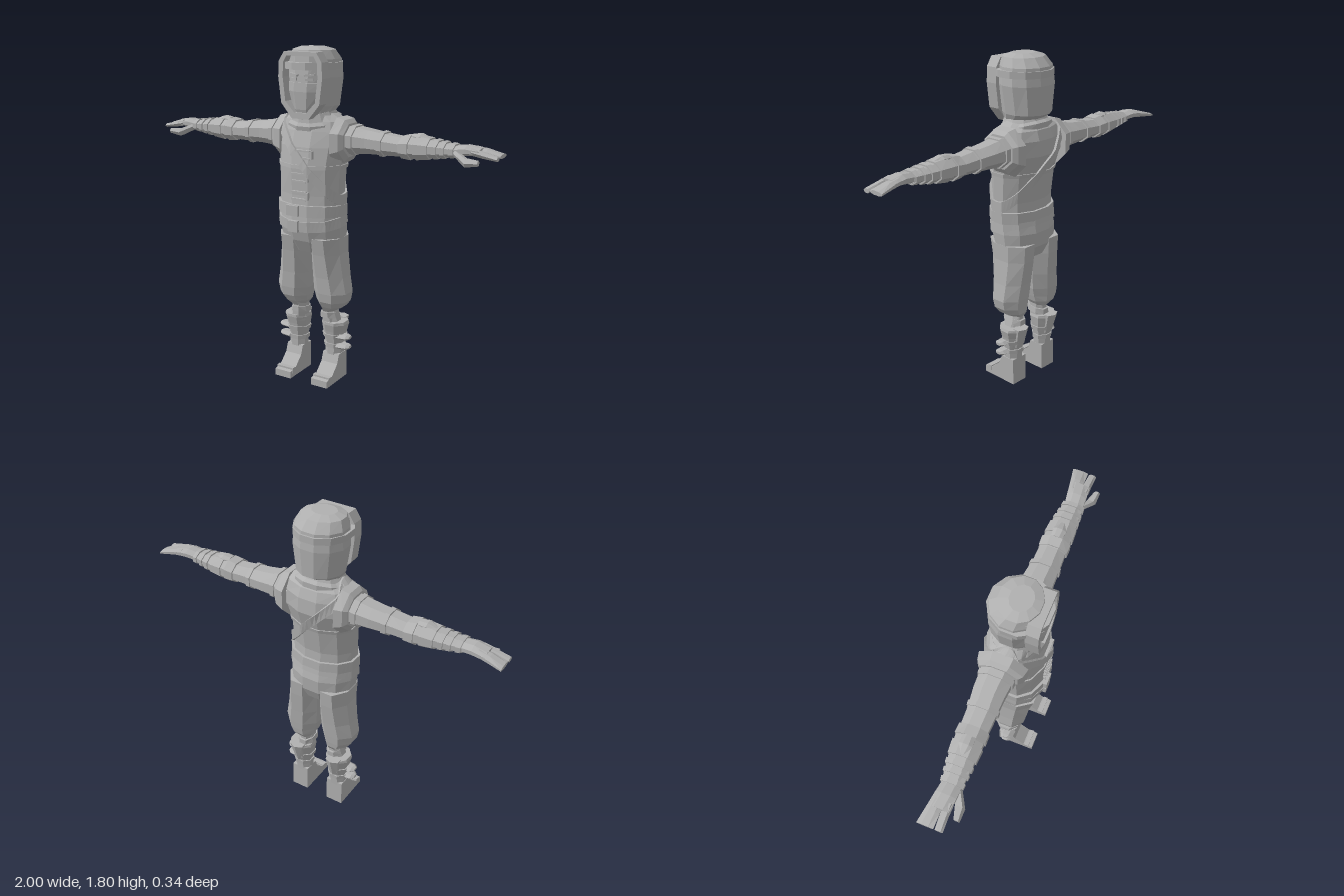
import * as THREE from 'three';

const grey = new THREE.MeshStandardMaterial({ color: 0xb0b0b0 });
grey.name = 'plain grey';

// Flat-faced skin through a list of point rings
function skin(rings, flip = false, caps = true) {
  const out = [];
  const tri = (a, b, c) => (flip ? [a, c, b] : [a, b, c]).forEach(p => out.push(...p));
  const n = rings[0].length;
  for (let j = 0; j + 1 < rings.length; j++) {
    for (let i = 0; i < n; i++) {
      const k = (i + 1) % n, lo = rings[j], up = rings[j + 1];
      tri(lo[i], up[i], lo[k]);
      tri(up[i], up[k], lo[k]);
    }
  }
  if (caps) {
    const a = rings[0], b = rings[rings.length - 1];
    for (let i = 1; i + 1 < n; i++) {
      tri(a[0], a[i], a[i + 1]);
      tri(b[0], b[i + 1], b[i]);
    }
  }
  const g = new THREE.BufferGeometry();
  g.setAttribute('position', new THREE.Float32BufferAttribute(out, 3));
  g.computeVertexNormals();
  return g;
}

// Polygon filling the box u0..u1, v0..v1
function ring([, u0, u1, v0, v1], n) {
  const f = 1 / Math.cos(Math.PI / n);
  return Array.from({ length: n }, (_, i) => {
    const a = (i + 0.5) / n * Math.PI * 2;
    return [(u0 + u1) / 2 + (u1 - u0) / 2 * f * Math.cos(a), (v0 + v1) / 2 + (v1 - v0) / 2 * f * Math.sin(a)];
  });
}
// Upright loft: sections are [y, x0, x1, z0, z1]; tilt leans each section along z
const loftY = (secs, n = 8, tilt = 0) =>
  skin(secs.map(s => ring(s, n).map(([x, z]) => [x, s[0] + tilt * z, z])));
// Sideways loft: sections are [x, y0, y1, z0, z1]
const loftX = (secs, n = 8) => skin(secs.map(s => ring(s, n).map(([y, z]) => [s[0], y, z])), true);
const sym = secs => secs.map(([y, w, z0, z1]) => [y, -w, w, z0, z1]);

// Section of a loft at height y
function sectionAt(secs, y) {
  let j = 0;
  while (j < secs.length - 2 && secs[j + 1][0] < y) j++;
  const a = secs[j], b = secs[j + 1];
  const t = THREE.MathUtils.clamp((y - a[0]) / (b[0] - a[0]), 0, 1);
  return a.map((v, i) => v + (b[i] - v) * t);
}
// Strap lying on a loft; yAt(c, s) is its centre height around the body
function band(secs, yAt, height, thick, n = 12) {
  const make = (dy, off) => {
    const pts = [];
    for (let i = 0; i < n * 4; i++) {
      const a = (i / 4 + 0.5) / n * Math.PI * 2, y = yAt(Math.cos(a), Math.sin(a)) + dy;
      const [, x0, x1, z0, z1] = sectionAt(secs, y);
      const p = ring([y, x0 - off, x1 + off, z0 - off, z1 + off], n);
      const k = Math.floor(i / 4), t = (i % 4) / 4, q = p[(k + 1) % n];
      pts.push([p[k][0] + (q[0] - p[k][0]) * t, y, p[k][1] + (q[1] - p[k][1]) * t]);
    }
    return pts;
  };
  const h = height / 2;
  return skin([make(-h, -0.01), make(-h, thick), make(h, thick), make(h, -0.01)], false, false);
}
function box(w, h, d, x, y, z, rz = 0, ry = 0) {
  return new THREE.BoxGeometry(w, h, d).rotateZ(rz).rotateY(ry).translate(x, y, z);
}
// Mirror across x and turn the faces back outwards
function mirrored(geo) {
  const g = geo.index ? geo.toNonIndexed() : geo.clone();
  g.scale(-1, 1, 1);
  const p = g.attributes.position, v = new THREE.Vector3(), w = new THREE.Vector3();
  for (let i = 0; i < p.count; i += 3) {
    v.fromBufferAttribute(p, i + 1);
    w.fromBufferAttribute(p, i + 2);
    p.setXYZ(i + 1, w.x, w.y, w.z);
    p.setXYZ(i + 2, v.x, v.y, v.z);
  }
  g.computeVertexNormals();
  return g;
}

export function createModel() {
  const model = new THREE.Group();
  model.name = 'hoodedFigure';
  const add = (name, geo) => {
    const m = new THREE.Mesh(geo, grey);
    m.name = name;
    model.add(m);
  };
  const pair = (name, geo) => {
    add(name + 'Left', geo);
    add(name + 'Right', mirrored(geo));
  };

  // Hips and vest
  const hips = sym([[0.735, 0.13, -0.1, 0.09], [0.8, 0.18, -0.13, 0.125], [0.88, 0.185, -0.135, 0.15],
    [0.94, 0.18, -0.12, 0.145], [1.0, 0.175, -0.11, 0.14]]);
  const vest = sym([[0.93, 0.178, -0.115, 0.145], [1.05, 0.178, -0.108, 0.14], [1.195, 0.182, -0.128, 0.145],
    [1.3, 0.195, -0.16, 0.13], [1.38, 0.195, -0.155, 0.105], [1.43, 0.18, -0.135, 0.085], [1.47, 0.11, -0.09, 0.07]]);
  add('hips', loftY(hips, 12));
  add('vest', loftY(vest, 12));
  add('chestHem', band(vest, () => 1.2, 0.02, 0.006));
  add('upperBelt', band(vest, () => 0.97, 0.06, 0.013));
  add('lowerBelt', band(hips, (c, s) => 0.918 - 0.035 * s, 0.055, 0.008));
  add('chestStrap', band(vest, c => 1.235 - 0.21 * c, 0.06, 0.012));
  add('beltBuckle', box(0.07, 0.055, 0.02, -0.03, 0.97, 0.16));
  add('lowerBuckle', box(0.06, 0.06, 0.02, -0.03, 0.885, 0.157));

  // Vest toggles
  [[0.02, 1.265, 0.138], [0, 1.145, 0.145], [0, 1.05, 0.145]].forEach(([x, y, z]) => {
    for (const d of [-1, 1]) add('toggleCord', box(0.09, 0.009, 0.018, x, y + d * 0.019, z));
    add('toggleEnd', box(0.012, 0.04, 0.02, x + 0.05, y, z));
  });

  // Collar and hood
  add('collar', loftY(sym([[1.385, 0.155, -0.13, 0.1], [1.43, 0.145, -0.13, 0.11], [1.445, 0.125, -0.11, 0.1],
    [1.485, 0.105, -0.09, 0.095]]), 12, -0.25));
  add('hood', loftY(sym([[1.46, 0.1, -0.075, 0.09], [1.505, 0.122, -0.145, 0.1], [1.65, 0.143, -0.15, 0.11],
    [1.74, 0.135, -0.14, 0.11], [1.785, 0.112, -0.1, 0.1], [1.8, 0.065, -0.05, 0.06]]), 12));
  const half = [[0.05, 1.445], [0.113, 1.52], [0.13, 1.65], [0.126, 1.73], [0.095, 1.778]];
  const inner = [[0.035, 1.475], [0.088, 1.53], [0.103, 1.65], [0.1, 1.725], [0.08, 1.757]];
  const loop = h => [...h, ...h.map(([x, y]) => [-x, y]).reverse()].map(([x, y]) => new THREE.Vector2(x, y));
  const rim = new THREE.Shape(loop(half));
  rim.holes.push(new THREE.Path(loop(inner)));
  add('hoodRim', new THREE.ExtrudeGeometry(rim, { depth: 0.065, bevelEnabled: false }).translate(0, 0, 0.07));
  add('headband', loftY(sym([[1.69, 0.147, -0.15, 0.15], [1.725, 0.147, -0.15, 0.15]]), 12));

  // Face and mask
  add('face', loftY(sym([[1.48, 0.05, 0, 0.105], [1.6, 0.088, 0, 0.122], [1.66, 0.095, 0, 0.12], [1.76, 0.1, 0, 0.112]])));
  add('mask', loftY(sym([[1.44, 0.05, 0, 0.11], [1.49, 0.07, 0, 0.125], [1.58, 0.092, 0, 0.133], [1.625, 0.094, 0, 0.13]])));
  pair('eye', box(0.042, 0.014, 0.009, 0.046, 1.642, 0.117, 0, 0.3));
  pair('eyebrow', box(0.055, 0.01, 0.016, 0.046, 1.664, 0.117, 0.1, 0.3));

  // Arms, armholes and wraps
  const arm = [[0.12, 1.23, 1.42, -0.12, 0.07], [0.22, 1.268, 1.408, -0.115, 0.055], [0.32, 1.276, 1.395, -0.112, 0.045],
    [0.42, 1.278, 1.383, -0.1, 0.042], [0.5, 1.28, 1.375, -0.098, 0.038], [0.56, 1.275, 1.385, -0.1, 0.04],
    [0.66, 1.288, 1.375, -0.092, 0.035], [0.79, 1.31, 1.36, -0.072, 0.028]];
  pair('arm', loftX(arm));
  pair('armhole', loftX([[0.15, 1.2, 1.45, -0.155, 0.1], [0.195, 1.225, 1.44, -0.145, 0.09], [0.215, 1.25, 1.42, -0.125, 0.07]]));
  const wrap = (x, w, t) => loftX([x - w, x + w].map(e => {
    const s = sectionAt(arm, e);
    return [e, s[1] - t, s[2] + t, s[3] - t, s[4] + t];
  }));
  [[0.24, 0.012], [0.4, 0.012], [0.53, 0.025], [0.62, 0.035], [0.69, 0.012], [0.73, 0.01], [0.775, 0.012]]
    .forEach(([x, w]) => pair('armWrap', wrap(x, w, 0.007)));
  pair('forearmPad', loftX([[0.555, 1.36, 1.395, -0.06, 0.0], [0.6, 1.36, 1.4, -0.065, 0.005], [0.65, 1.35, 1.382, -0.05, -0.01]]));

  // Hands
  pair('palm', loftX([[0.77, 1.31, 1.358, -0.068, 0.026], [0.84, 1.318, 1.367, -0.078, 0.025], [0.91, 1.322, 1.358, -0.088, 0.018]]));
  pair('fingers', loftX([[0.87, 1.325, 1.362, -0.082, -0.02], [0.93, 1.318, 1.352, -0.092, -0.02], [1.0, 1.312, 1.332, -0.105, -0.022]]));
  pair('indexFinger', loftX([[0.87, 1.325, 1.358, -0.02, 0.022], [0.93, 1.315, 1.345, -0.017, 0.02], [1.0, 1.308, 1.328, -0.013, 0.022]], 6));
  pair('thumb', loftX([[0.79, 1.312, 1.345, -0.01, 0.03], [0.86, 1.275, 1.315, 0.025, 0.07], [0.925, 1.287, 1.312, 0.045, 0.072]], 6));

  // Baggy trouser legs
  pair('trouserLeg', loftY([[0.395, 0.06, 0.13, -0.075, 0.035], [0.425, 0.04, 0.18, -0.095, 0.055], [0.46, 0.03, 0.205, -0.1, 0.075],
    [0.51, 0.018, 0.214, -0.105, 0.083], [0.6, 0.012, 0.198, -0.112, 0.09], [0.73, 0.008, 0.182, -0.125, 0.108],
    [0.82, 0.004, 0.182, -0.13, 0.125]]));

  // Shins, boots and straps
  const shin = [[0.08, 0.068, 0.162, -0.073, 0.015], [0.2, 0.067, 0.166, -0.076, 0.015], [0.28, 0.055, 0.18, -0.09, 0.03],
    [0.32, 0.05, 0.19, -0.1, 0.04], [0.335, 0.055, 0.185, -0.1, 0.04]];
  pair('knee', loftY([[0.3, 0.055, 0.16, -0.07, 0.03], [0.41, 0.055, 0.125, -0.07, 0.035]]));
  pair('kneeWrap', loftY([[0.355, 0.045, 0.145, -0.08, 0.045], [0.385, 0.05, 0.135, -0.08, 0.045]], 8, 0.15));
  pair('shinGuard', loftY(shin));
  pair('calfFlare', loftY([[0.22, 0.09, 0.145, -0.09, -0.04], [0.34, 0.08, 0.16, -0.122, -0.06]], 6));
  [0.25, 0.195].forEach(y => {
    pair('shinStrap', band(shin, () => y, 0.024, 0.006, 8));
    pair('strapEnd', loftX([[0.15, y - 0.015, y + 0.015, -0.05, 0.02], [0.205, y - 0.013, y + 0.015, -0.045, 0.015], [0.222, y - 0.005, y + 0.01, -0.03, 0]], 6));
  });
  const side = [[-0.076, 0], [0.14, 0], [0.14, 0.038], [0.085, 0.048], [0.03, 0.1], [0.012, 0.15], [-0.074, 0.15]];
  pair('boot', new THREE.ExtrudeGeometry(new THREE.Shape(side.map(([z, y]) => new THREE.Vector2(z, y))),
    { depth: 0.1, bevelEnabled: false }).rotateY(-Math.PI / 2).translate(0.167, 0, 0));
  pair('toeStrap', box(0.104, 0.03, 0.025, 0.117, 0.037, 0.105));

  return model;
}
